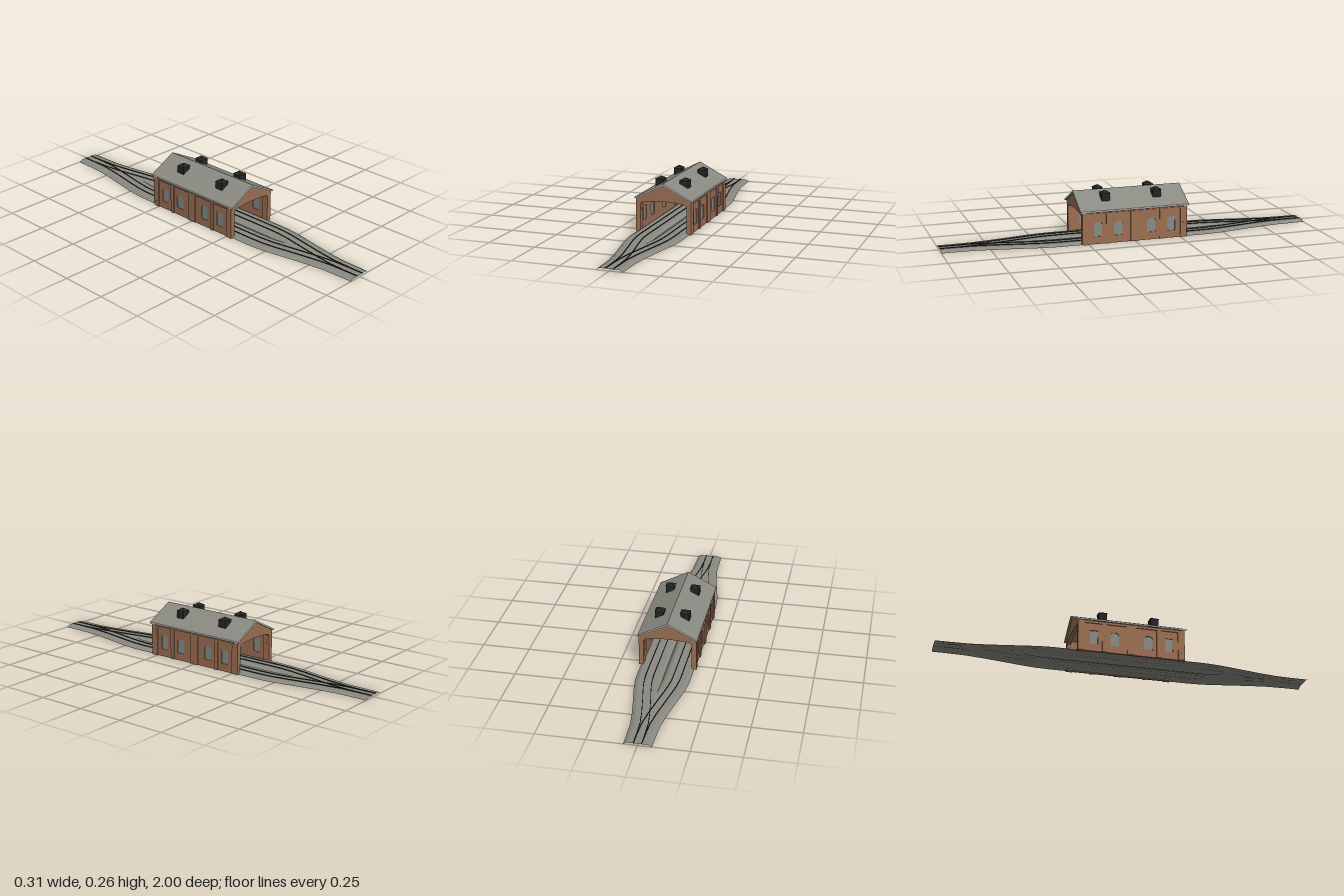
import * as THREE from 'three';

const mat = (name, color, side = THREE.FrontSide) => {
  const m = new THREE.MeshStandardMaterial({ color, flatShading: true, side });
  m.name = name;
  return m;
};

// Strip surface through equal-length cross-sections of [x, y, z]
function loft(sections, closed) {
  const pos = [];
  for (let i = 0; i + 1 < sections.length; i++) {
    const a = sections[i], b = sections[i + 1], n = a.length;
    for (let j = 0; j < (closed ? n : n - 1); j++) {
      const k = (j + 1) % n;
      pos.push(...a[j], ...b[j], ...b[k], ...a[j], ...b[k], ...a[k]);
    }
  }
  const g = new THREE.BufferGeometry();
  g.setAttribute('position', new THREE.Float32BufferAttribute(pos, 3));
  g.computeVertexNormals();
  return g;
}

// Track centre offset from the middle, by distance along the line
const PATH = [[1, 0], [0.92, 0.001], [0.83, 0.004], [0.74, 0.016], [0.65, 0.032],
  [0.56, 0.049], [0.54, 0.053], [0.48, 0.063], [0.43, 0.068], [0.38, 0.07]];
const STATIONS = [...PATH, ...PATH.map(([z, c]) => [-z, c]).reverse()];

export function createModel() {
  const root = new THREE.Group();
  root.name = 'railwayShed';
  const brick = mat('brick brown', 0x9b6f52);
  const slate = mat('slate grey', 0x8a8a82);
  const gravel = mat('gravel grey', 0x8a8a81, THREE.DoubleSide);
  const trim = mat('pale trim', 0xc6c9c8);
  const glass = mat('window grey', 0x868c87);
  const iron = mat('iron black', 0x242625, THREE.DoubleSide);

  const add = (name, geo, material, x = 0, y = 0, z = 0, parent = root) => {
    const m = new THREE.Mesh(geo, material);
    m.name = name;
    m.position.set(x, y, z);
    parent.add(m);
    return m;
  };
  const box = (name, w, h, d, material, x, y, z, parent) =>
    add(name, new THREE.BoxGeometry(w, h, d), material, x, y, z, parent);
  const poly = pts => new THREE.Shape(pts.map(p => new THREE.Vector2(...p)));
  const extrude = (shape, depth) =>
    new THREE.ExtrudeGeometry(shape, { depth, bevelEnabled: false, curveSegments: 8 });

  // Track bed halves with sloped shoulders, and two rails on each
  for (const s of [-1, 1]) {
    const track = new THREE.Group();
    track.name = s > 0 ? 'leftTrack' : 'rightTrack';
    root.add(track);
    add('trackBed', loft(STATIONS.map(([z, c]) => {
      const inner = Math.max(c - 0.05, 0), foot = Math.max(c - 0.068, 0);
      return [[s * (c + 0.069), 0, z], [s * (c + 0.05), 0.01, z],
        [s * inner, 0.01, z], [s * foot, 0.01 - (inner - foot) * 0.55, z]];
    })), gravel, 0, 0, 0, track);
    for (const r of [-0.02, 0.02]) {
      add('rail', loft(STATIONS.map(([z, c]) => {
        const x = s * (c + r), w = 0.0016;
        return [[x - w, 0.01, z], [x - w, 0.014, z], [x + w, 0.014, z], [x + w, 0.01, z]];
      }), true), iron, 0, 0, 0, track);
    }
  }

  // Gable ends with wide arched openings
  const gable = poly([[-0.15, 0], [-0.125, 0], [-0.125, 0.135]]);
  gable.quadraticCurveTo(-0.123, 0.154, -0.104, 0.156);
  gable.quadraticCurveTo(0, 0.17, 0.104, 0.156);
  gable.quadraticCurveTo(0.123, 0.154, 0.125, 0.135);
  for (const p of [[0.125, 0], [0.15, 0], [0.15, 0.171], [0.01, 0.245], [-0.01, 0.245], [-0.15, 0.171]])
    gable.lineTo(...p);
  const gableGeo = extrude(gable, 0.02);
  add('frontGable', gableGeo, brick, 0, 0, 0.265);
  add('backGable', gableGeo, brick, 0, 0, -0.285);

  // Window outline: straight sides with a curved head
  const windowPath = (z, w, rise) => {
    const s = new THREE.Shape();
    s.moveTo(z - w / 2, 0.04);
    s.lineTo(z + w / 2, 0.04);
    s.lineTo(z + w / 2, 0.116 - rise);
    s.quadraticCurveTo(z + w / 2, 0.116, z, 0.116);
    s.quadraticCurveTo(z - w / 2, 0.116, z - w / 2, 0.116 - rise);
    return s;
  };
  const windows = [[-0.2, 0.042, 0.005], [-0.09, 0.046, 0.02], [0.09, 0.046, 0.02], [0.2, 0.042, 0.005]];

  // Long walls with window openings, glazing and pilasters
  for (const s of [-1, 1]) {
    const wall = new THREE.Group();
    wall.name = s > 0 ? 'leftWall' : 'rightWall';
    root.add(wall);
    const shape = poly([[-0.266, 0], [0.266, 0], [0.266, 0.172], [-0.266, 0.172]]);
    windows.forEach(w => shape.holes.push(windowPath(...w)));
    add('wallPanel', extrude(shape, 0.012).rotateY(Math.PI / 2), brick, s * 0.138 - 0.006, 0, 0, wall);
    for (const w of windows)
      add('window', extrude(windowPath(...w), 0.004).rotateY(Math.PI / 2), glass, s * 0.138 - 0.002, 0, 0, wall);
    for (const z of [-0.145, 0, 0.145])
      box('pilaster', 0.007, 0.165, z ? 0.022 : 0.05, brick, s * 0.1465, 0.0825, z, wall);
    for (const z of [-0.258, 0.258])
      box('cornerPier', 0.025, 0.165, 0.018, brick, s * 0.1374, 0.0825, z, wall);
    box('corbel', 0.006, 0.008, 0.53, brick, s * 0.146, 0.16, 0, wall);
  }

  // Pitched roof with pale verge and eaves boards
  const roof = poly([[-0.153, 0.17], [0, 0.247], [0.153, 0.17], [0.153, 0.178], [0, 0.257], [-0.153, 0.178]]);
  add('roof', extrude(roof, 0.59), [trim, slate], 0, 0, -0.295);
  for (const s of [-1, 1])
    box('eavesBoard', 0.002, 0.008, 0.59, trim, s * 0.1535, 0.174, 0);

  // Four smoke vents with pyramid caps
  const cap = new THREE.ConeGeometry(0.0354, 0.015, 4).rotateY(Math.PI / 4);
  for (const x of [-0.067, 0.067]) for (const z of [-0.14, 0.14]) {
    const vent = new THREE.Group();
    vent.name = 'smokeVent';
    vent.position.set(x, 0, z);
    root.add(vent);
    box('ventBody', 0.045, 0.045, 0.045, iron, 0, 0.2285, 0, vent);
    add('ventCap', cap, iron, 0, 0.2575, 0, vent);
  }
  return root;
}
